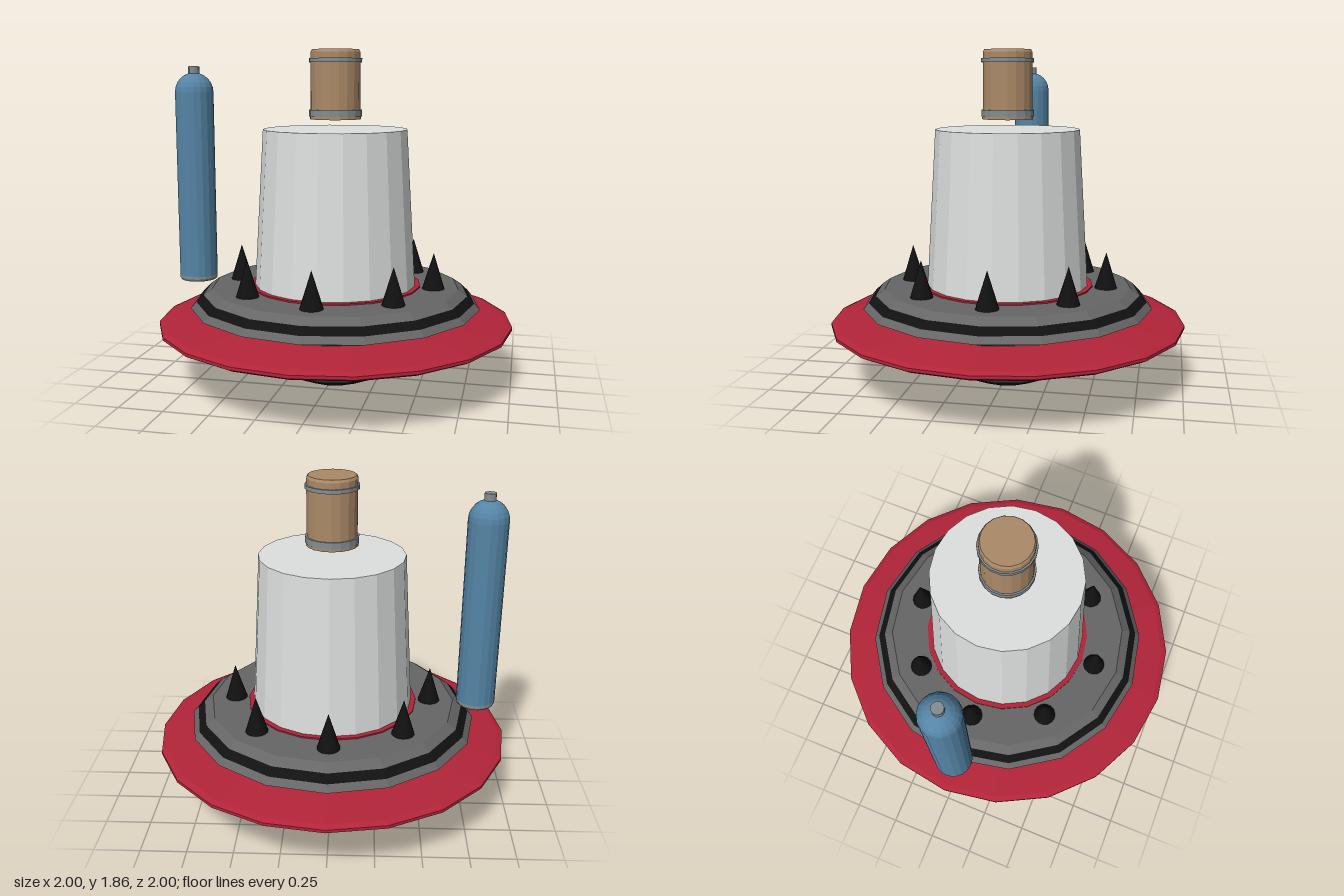
import * as THREE from 'three';

const mat = (name, color) => {
  const m = new THREE.MeshStandardMaterial({ color, flatShading: true });
  m.name = name;
  return m;
};

export function createModel() {
  const root = new THREE.Group();
  root.name = 'saucer';
  const red = mat('red', 0xb22439);
  const grey = mat('grey', 0x666666);
  const black = mat('black', 0x111111);
  const white = mat('white', 0xdde0df);
  const tan = mat('tan', 0xab8a68);
  const steel = mat('steel', 0x858d90);
  const blue = mat('blue', 0x5585a6);
  const teal = mat('teal', 0x8fdce6);

  // Turned part: profile of [radius, y] pairs, running from underneath, outwards and up
  const turn = (name, material, sides, profile, parent = root) => {
    const points = profile.map(([r, y]) => new THREE.Vector2(r, y));
    const mesh = new THREE.Mesh(new THREE.LatheGeometry(points, sides), material);
    mesh.name = name;
    parent.add(mesh);
    return mesh;
  };

  // Underside: recessed lens, black nose and grey bowl
  turn('lens', teal, 16, [[0, 0.05], [0.185, 0.05]]);
  turn('lensWall', steel, 16, [[0.185, 0.05], [0.185, 0]]);
  turn('nose', black, 16, [[0.185, 0], [0.195, 0], [0.37, 0.08]]);
  turn('bowl', grey, 16, [[0.37, 0.08], [0.63, 0.288]]);
  turn('bowlTrim', black, 16, [[0.62, 0.282], [0.675, 0.286], [0.675, 0.3]]);

  // Wide red rim
  turn('rim', red, 20, [
    [0.6, 0.29], [0.66, 0.292], [0.97, 0.312], [1, 0.328], [1, 0.345], [0.97, 0.358], [0.7, 0.39], [0.6, 0.39],
  ]);

  // Upper deck with black band
  turn('deckEdge', grey, 16, [[0.66, 0.385], [0.69, 0.39], [0.82, 0.435], [0.79, 0.47]]);
  turn('deckBand', black, 16, [[0.79, 0.47], [0.75, 0.508]]);
  turn('deckTop', grey, 16, [[0.75, 0.508], [0.7, 0.543], [0, 0.543]]);
  turn('towerTrim', red, 20, [[0.485, 0.54], [0.485, 0.551], [0.44, 0.551]]);

  // Spikes around the deck
  for (let i = 0; i < 8; i++) {
    const a = (i * Math.PI) / 4;
    const spike = new THREE.Mesh(new THREE.ConeGeometry(0.065, 0.21, 14), black);
    spike.name = 'spike';
    spike.position.set(Math.sin(a) * 0.56, 0.64, Math.cos(a) * 0.56);
    root.add(spike);
  }

  // Tower and floating barrel above it
  turn('tower', white, 20, [[0, 0.54], [0.457, 0.54], [0.403, 1.425], [0, 1.425]]);
  turn('barrel', tan, 18, [
    [0, 1.48], [0.143, 1.48], [0.143, 1.49], [0.138, 1.53], [0.138, 1.845], [0.13, 1.86], [0, 1.86],
  ]);
  for (const [y, h] of [[1.495, 0.037], [1.79, 0.022]]) {
    turn('barrelHoop', steel, 18, [[0.13, y], [0.147, y], [0.147, y + h], [0.13, y + h]]);
  }

  // Red ring ports lying on the bowl
  const normal = new THREE.Vector3(0.63, -0.777, 0);
  for (const degrees of [0, 115]) {
    const pivot = new THREE.Group();
    pivot.name = 'port';
    pivot.rotation.y = THREE.MathUtils.degToRad(degrees);
    const ring = new THREE.Mesh(new THREE.TorusGeometry(0.06, 0.028, 8, 20), red);
    ring.name = 'portRing';
    ring.position.set(0.54, 0.215, 0);
    ring.quaternion.setFromUnitVectors(new THREE.Vector3(0, 0, 1), normal.clone().normalize());
    pivot.add(ring);
    root.add(pivot);
  }

  // Floating gas tank at the side
  const tank = new THREE.Group();
  tank.name = 'tank';
  tank.position.x = -0.83;
  const shell = [[0.11, 0.56]];
  for (let i = 0; i <= 6; i++) {
    const a = (i * Math.PI) / 12;
    shell.push([0.11 * Math.cos(a), 1.625 + 0.11 * Math.sin(a)]);
  }
  turn('tankBody', blue, 18, shell, tank);
  turn('tankFoot', steel, 18, [[0, 0.532], [0.103, 0.532], [0.11, 0.545], [0.11, 0.56]], tank);
  turn('tankNeck', steel, 12, [[0.032, 1.7], [0.032, 1.77], [0, 1.77]], tank);
  root.add(tank);

  return root;
}
